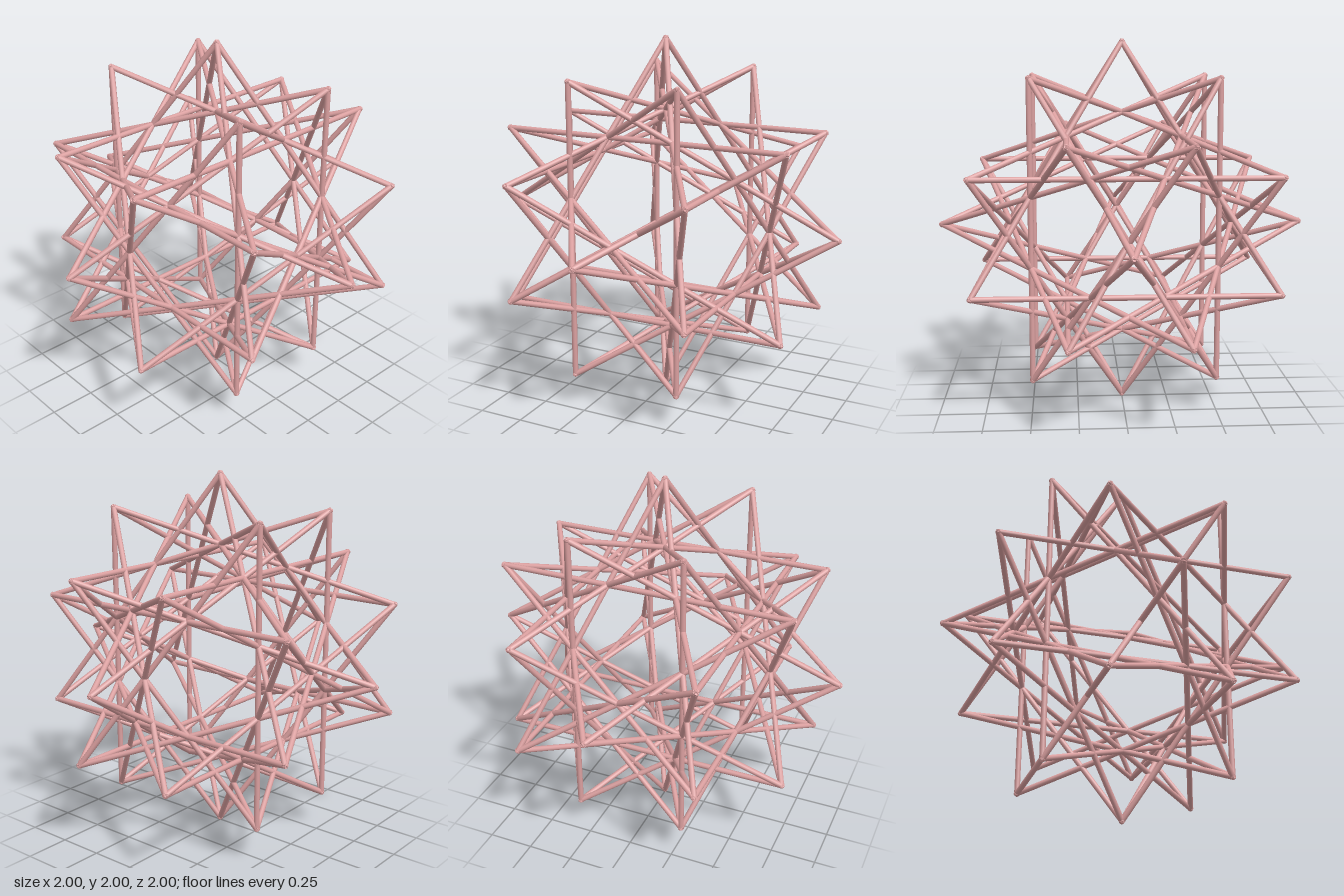
import * as THREE from 'three';

const PHI = (1 + Math.sqrt(5)) / 2;
const RADIUS = 0.984;   // distance of the star points from the centre
const ROD = 0.015;      // rod radius
const OVERLAP = 0.009;  // rods run slightly past the points to close the tips

// The 30 star points: six on the axes, the rest by cyclic permutation and sign
function starPoints() {
  const points = [];
  const add = (x, y, z) => points.push(new THREE.Vector3(x, y, z));
  for (const s of [-1, 1]) {
    add(s, 0, 0);
    add(0, s, 0);
    add(0, 0, s);
    for (const t of [-1, 1]) {
      for (const u of [-1, 1]) {
        const a = s / 2, b = t * PHI / 2, c = u / (2 * PHI);
        add(a, b, c);
        add(b, c, a);
        add(c, a, b);
      }
    }
  }
  return points;
}

export function createModel() {
  const group = new THREE.Group();
  group.name = 'starFrame';
  const material = new THREE.MeshStandardMaterial({ color: 0xdba0a0 });
  const length = RADIUS * PHI + 2 * OVERLAP;
  const geometry = new THREE.CylinderGeometry(ROD, ROD, length, 10);
  const up = new THREE.Vector3(0, 1, 0);
  const points = starPoints();

  // A rod joins every two points that lie 108 degrees apart
  points.forEach((p, i) => {
    for (const q of points.slice(i + 1)) {
      if (Math.abs(p.distanceTo(q) - PHI) > 0.01) continue;
      const rod = new THREE.Mesh(geometry, material);
      rod.name = 'rod';
      rod.position.addVectors(p, q).multiplyScalar(RADIUS / 2);
      rod.position.y += 1;
      rod.quaternion.setFromUnitVectors(up, q.clone().sub(p).normalize());
      group.add(rod);
    }
  });
  return group;
}
